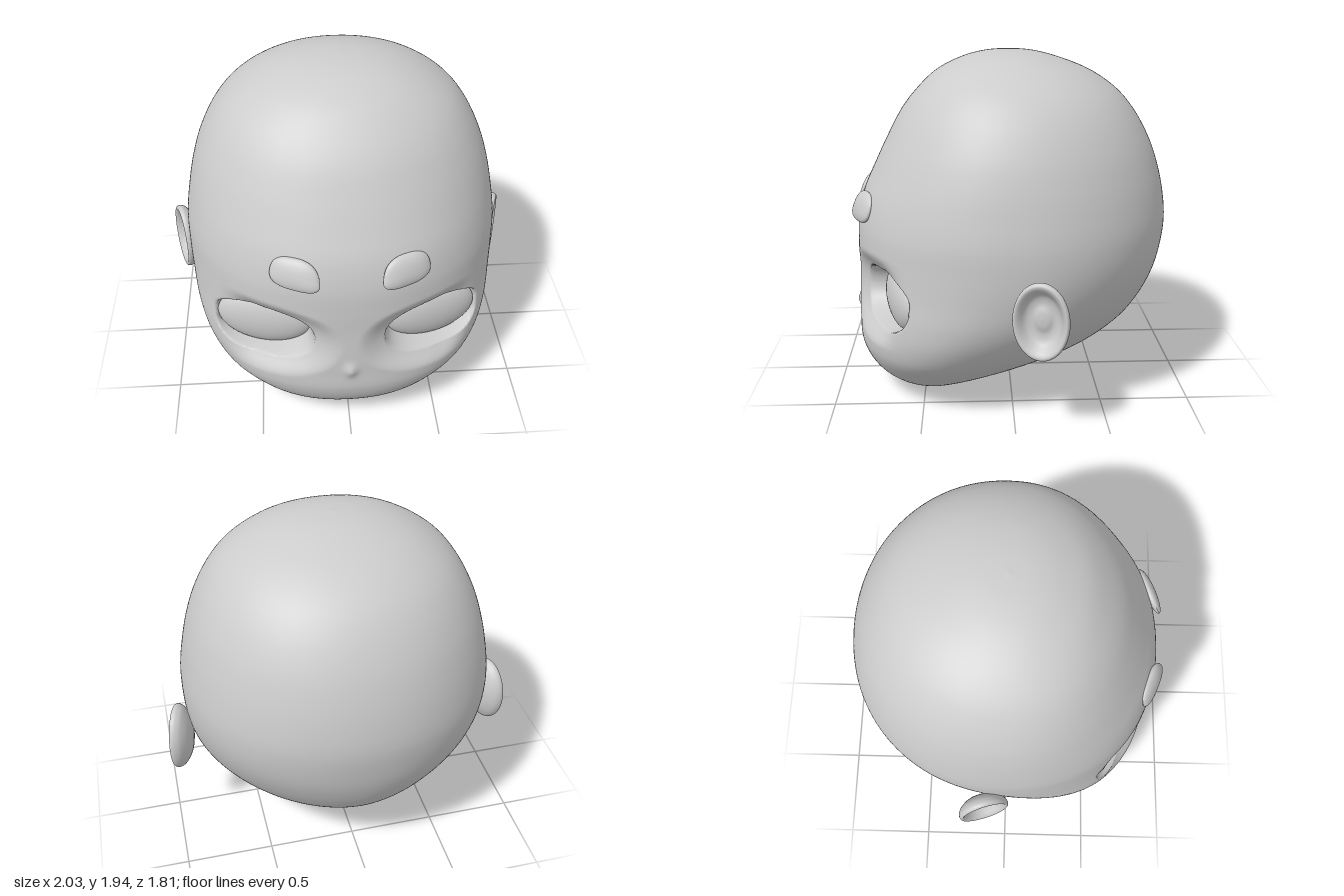
import * as THREE from 'three';

const { smoothstep, lerp } = THREE.MathUtils;

// Head cross-sections: height, front z, back z, half width, z of the widest point
const ROWS = [
  [0, 0.5001, 0.4999, 0.0001, 0.5],
  [0.02, 0.62, 0.32, 0.25, 0.48],
  [0.06, 0.70, 0.18, 0.41, 0.45],
  [0.12, 0.79, -0.05, 0.53, 0.41],
  [0.2, 0.85, -0.33, 0.635, 0.38],
  [0.3, 0.883, -0.55, 0.74, 0.34],
  [0.42, 0.885, -0.70, 0.815, 0.27],
  [0.55, 0.885, -0.79, 0.86, 0.17],
  [0.7, 0.88, -0.855, 0.882, 0.07],
  [0.85, 0.88, -0.89, 0.893, 0.01],
  [1.0, 0.872, -0.905, 0.892, -0.01],
  [1.15, 0.837, -0.89, 0.87, -0.02],
  [1.3, 0.77, -0.855, 0.838, -0.02],
  [1.45, 0.697, -0.80, 0.79, -0.02],
  [1.6, 0.615, -0.715, 0.715, -0.02],
  [1.72, 0.52, -0.61, 0.62, -0.01],
  [1.82, 0.41, -0.46, 0.48, -0.01],
  [1.89, 0.27, -0.28, 0.32, 0],
  [1.925, 0.14, -0.14, 0.16, 0],
  [1.936, 0.0001, -0.0001, 0.0001, 0],
];

const EYE = { x: 0.465, y: 0.628, rx: 0.262, ry: 0.157 };

// Distance measure from the eye opening: 1 on its rim, less inside
function eyeDistance(x, y) {
  const dx = Math.abs(x) - EYE.x;
  const dy = y - EYE.y - (y > EYE.y ? 0.06 * dx : -0.03 * dx);
  return (Math.abs(dx / EYE.rx) ** 2.4 + Math.abs(dy / EYE.ry) ** 2.4) ** (1 / 2.4);
}

// Carves the eye sockets and raises the nose on the front of the head
function sculptFace(x, y, z) {
  if (z < 0.3) return z;
  const ax = Math.abs(x);
  const r = eyeDistance(x, y);
  z -= 0.07 * (1 - smoothstep(r, 0.85, 1.65)) * (1 - smoothstep(ax, 0.5, 0.74));
  const floor = 0.57 - 0.27 * (ax - EYE.x);
  z = lerp(z, Math.min(z, floor), 1 - smoothstep(r, 0.9, 1.06));
  const nose = (x / 0.035) ** 2 + ((y - 0.45) / 0.045) ** 2;
  return z + 0.022 * Math.exp(-nose);
}

function headGeometry() {
  const last = ROWS.length - 1;
  const depth = new THREE.CatmullRomCurve3(
    ROWS.map(([y, f, b]) => new THREE.Vector3(f, y, b)), false, 'catmullrom');
  const width = new THREE.CatmullRomCurve3(
    ROWS.map(([y, , , w, c]) => new THREE.Vector3(w, y, c)), false, 'catmullrom');

  // Rings are packed closer together at eye level
  const steps = [];
  for (let i = 0; i < last; i++) {
    const n = i >= 6 && i <= 8 ? 24 : i === 5 || i === 9 ? 14 : 6;
    for (let k = 0; k < n; k++) steps.push((i + k / n) / last);
  }
  steps.push(1);

  const segments = 280;
  const positions = [];
  const index = [];
  steps.forEach((u, i) => {
    const d = depth.getPoint(u);
    const w = width.getPoint(u);
    const backPower = lerp(1.8, 2.08, smoothstep(d.y, 0.2, 0.9));
    for (let j = 0; j < segments; j++) {
      const a = (j / segments) * Math.PI * 2;
      const t = a - 0.5 * Math.sin(a);
      const s = Math.sin(t);
      const c = Math.cos(t);
      const n = c > 0 ? 2.15 : backPower;
      const reach = Math.max(1e-4, c > 0 ? d.x - w.z : w.z - d.z);
      const r = (Math.abs(s / w.x) ** n + Math.abs(c / reach) ** n) ** (-1 / n);
      const x = r * s;
      positions.push(x, d.y, sculptFace(x, d.y, w.z + r * c));
      if (i < steps.length - 1) {
        const k = (j + 1) % segments;
        const p = i * segments;
        const q = p + segments;
        index.push(p + j, p + k, q + j, p + k, q + k, q + j);
      }
    }
  });
  const geometry = new THREE.BufferGeometry();
  geometry.setAttribute('position', new THREE.Float32BufferAttribute(positions, 3));
  geometry.setIndex(index);
  geometry.computeVertexNormals();
  return geometry;
}

// Flattened pebble with squared sides, wider at the bottom and towards the nose
function browGeometry(side) {
  const geometry = new THREE.SphereGeometry(1, 40, 28);
  const p = geometry.attributes.position;
  for (let i = 0; i < p.count; i++) {
    const x = p.getX(i), y = p.getY(i), z = p.getZ(i);
    const flat = Math.hypot(x, y) || 1;
    const square = flat / (Math.abs(x) ** 2.7 + Math.abs(y) ** 2.7 || 1) ** (1 / 2.7);
    const bx = x * square, by = y * square;
    p.setXYZ(i, (bx * (1 - 0.14 * by) + side * 0.1 * by) * 0.135,
      (by + side * 0.08 * bx * (by < 0 ? 1 : 0)) * 0.088, z * 0.035);
  }
  geometry.computeVertexNormals();
  return geometry;
}

// Shallow oval dish with a rounded rim
function earGeometry() {
  const profile = [
    [0, -0.07], [0.5, -0.062], [0.85, -0.03], [0.98, 0], [0.99, 0.022], [0.92, 0.034],
    [0.8, 0.022], [0.62, -0.018], [0.4, -0.03], [0.2, -0.02], [0, -0.016],
  ].map(([r, h]) => new THREE.Vector2(r, h));
  const points = new THREE.SplineCurve(profile).getPoints(50);
  points.forEach((v) => { v.x = Math.max(0, v.x); });
  const geometry = new THREE.LatheGeometry(points, 56);
  geometry.scale(0.15, 1, 0.21);
  geometry.rotateX(Math.PI / 2);
  return geometry;
}

export function createModel() {
  const model = new THREE.Group();
  model.name = 'head';
  const clay = new THREE.MeshStandardMaterial({ color: 0xcccccc });
  clay.name = 'grey clay';

  const add = (name, geometry, position = [0, 0, 0], rotation = [0, 0, 0]) => {
    const mesh = new THREE.Mesh(geometry, clay);
    mesh.name = name;
    mesh.position.set(...position);
    mesh.rotation.set(...rotation, 'YXZ');
    model.add(mesh);
    return mesh;
  };

  add('skull', headGeometry());

  for (const side of [1, -1]) {
    const label = side > 0 ? 'left' : 'right';
    const eye = new THREE.SphereGeometry(1, 48, 32).scale(0.27, 0.172, 0.085);
    add(`${label}Eye`, eye, [side * 0.462, 0.63, 0.6], [0, side * 0.26, 0]);
    add(`${label}Eyebrow`, browGeometry(side), [side * 0.29, 1.098, 0.822], [-0.32, side * 0.37, 0]);
    add(`${label}Ear`, earGeometry(), [side * 0.94, 0.66, -0.127], [0, side * 1.245, 0]);
  }
  return model;
}
